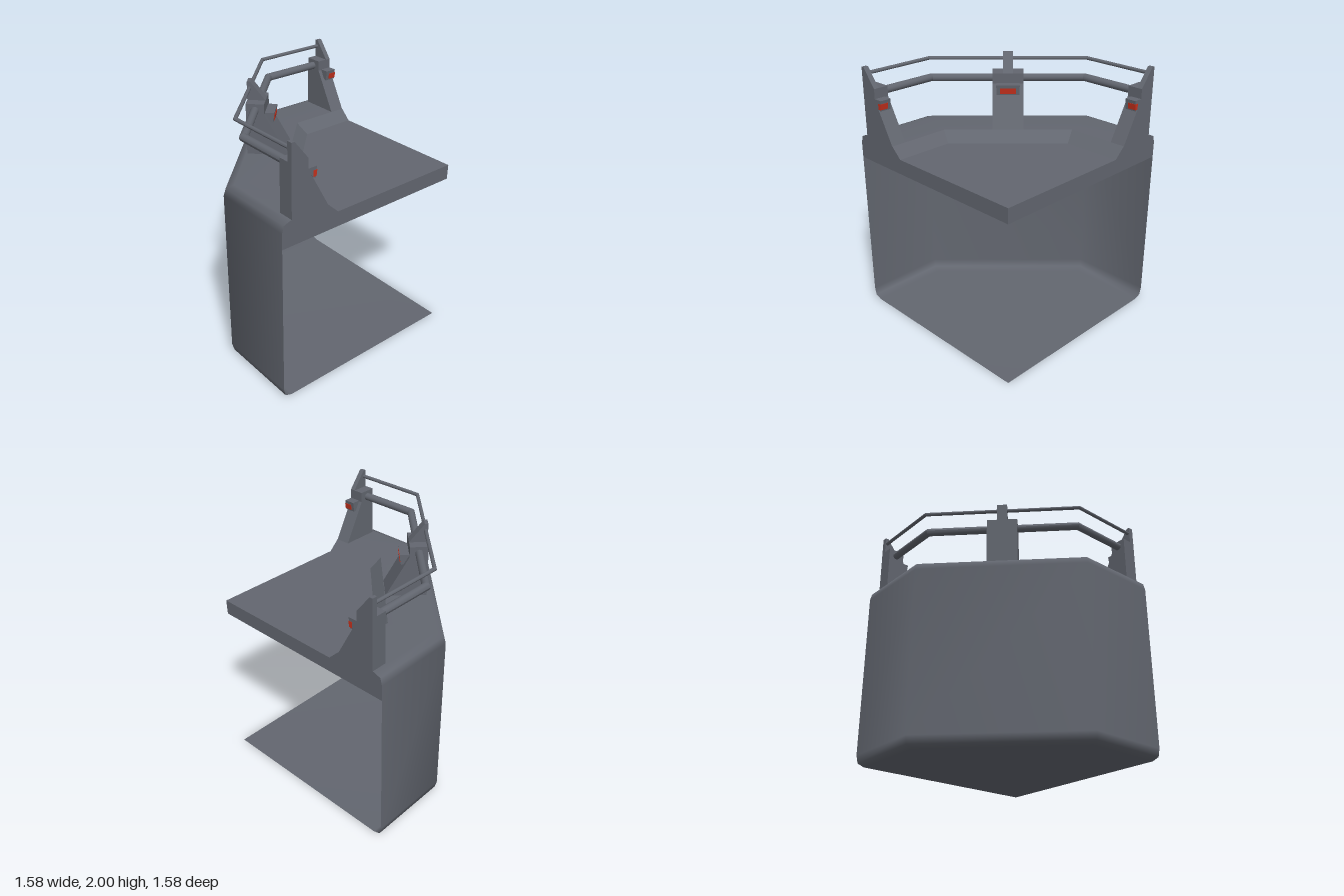
import * as THREE from 'three';
import { mergeGeometries } from 'three/addons/utils/BufferGeometryUtils.js';

const HALF = 0.79;                       // footprint half size; octagon centre sits at (HALF, -HALF)
const T = Math.tan(Math.PI / 8);
// Directions to the cut ends and corners of a quarter octagon with unit apothem
const COLS = [[0, 1], [-T, 1], [-1, T], [-1, 0]];

const hull = new THREE.MeshStandardMaterial({ color: 0x62666f, side: THREE.DoubleSide });
hull.name = 'slate grey';
const red = new THREE.MeshStandardMaterial({ color: 0xc4301c });
red.name = 'lamp red';

// Sweep a profile of [radius, height] points around the given octagon columns
function sweep(profile, cols = COLS) {
  const pos = [], idx = [], n = profile.length;
  for (const [dx, dz] of cols)
    for (const [r, y] of profile) pos.push(HALF + dx * r, y, -HALF + dz * r);
  for (let i = 0; i < cols.length - 1; i++)
    for (let j = 0; j < n - 1; j++) {
      const a = i * n + j, b = a + n, c = a + 1, d = b + 1;
      if (profile[j][0] > 0) idx.push(a, c, b);
      if (profile[j + 1][0] > 0) idx.push(b, c, d);
    }
  const g = new THREE.BufferGeometry();
  g.setAttribute('position', new THREE.Float32BufferAttribute(pos, 3));
  g.setIndex(idx);
  g.computeVertexNormals();
  return g;
}

function flat(g) {
  const f = g.toNonIndexed();
  f.computeVertexNormals();
  return f;
}

function mesh(name, geometry, material = hull) {
  const m = new THREE.Mesh(geometry, material);
  m.name = name;
  return m;
}

const shapeOf = pts => new THREE.Shape(pts.map(p => new THREE.Vector2(...p)));

// Extrude a [radius, height] outline sideways from z0 to z1
function slab(pts, z0, z1) {
  const g = new THREE.ExtrudeGeometry(shapeOf(pts), { depth: z1 - z0, bevelEnabled: false });
  return g.translate(0, 0, z0);
}

// Railing of round section, mitred at the octagon corners
function rail(name, r, y, radius) {
  const ring = [];
  for (let k = 0; k <= 12; k++) {
    const a = k / 12 * Math.PI * 2;
    ring.push([r + Math.cos(a) * radius, y + Math.sin(a) * radius]);
  }
  return mesh(name, mergeGeometries([0, 1, 2].map(i => sweep(ring, COLS.slice(i, i + 2)))));
}

// Buttress post with upper fin and lamp; lo and hi (0 or 1) choose which halves exist
function post(name, angle, lo, hi) {
  const g = new THREE.Group();
  g.name = name;
  const part = (n, pts, half, mat, extra = 0) =>
    g.add(mesh(n, slab(pts, lo ? -half : -extra, hi ? half : extra), mat));
  part('buttress', [[1.19, 1.46], [1.5, 1.46], [1.5, 1.86], [1.365, 1.86], [1.365, 1.78]], 0.12);
  part('fin', [[1.365, 1.86], [1.5, 1.86], [1.5, 2], [1.475, 2]], 0.04);
  part('lampHousing', [[1.325, 1.71], [1.37, 1.785], [1.295, 1.785], [1.305, 1.705]], 0.09);
  part('lampLens', [[1.325, 1.715], [1.325, 1.76], [1.294, 1.76], [1.3, 1.715]], 0.062, red, 0.002);
  g.position.set(HALF, 0, -HALF);
  g.rotation.y = angle;
  return g;
}

export function createModel() {
  const model = new THREE.Group();
  model.name = 'cornerPlatform';

  // Thin shell: floor, rounded wall and top rim
  const round = [[1.58, 1.39], [1.565, 1.445], [1.51, 1.465]];
  model.add(mesh('wallShell', sweep([[0, 0], [1.51, 0], [1.565, 0.02], [1.58, 0.08],
    ...round, [1.19, 1.465]])));

  // Sunken deck with sloping edge, underside and cut ends
  const top = [[1.19, 1.465], [1.105, 1.385], [0, 1.385]];
  model.add(mesh('deckTop', flat(sweep(top))));
  model.add(mesh('deckUnderside', flat(sweep([[0, 1.27], [1.578, 1.27]]))));
  const section = shapeOf([[0, 1.27], [1.58, 1.27], ...round, ...top]);
  for (const angle of [-Math.PI / 2, Math.PI]) {
    const end = mesh('deckEnd', new THREE.ShapeGeometry(section));
    end.position.set(HALF, 0, -HALF);
    end.rotation.y = angle;
    model.add(end);
  }

  // Posts: half posts at both cut ends, a whole one on the diagonal
  model.add(post('frontPost', -Math.PI / 2, 0, 1));
  model.add(post('diagonalPost', -Math.PI * 0.75, 1, 1));
  model.add(post('sidePost', -Math.PI, 1, 0));

  // Railings
  model.add(rail('mainRail', 1.435, 1.81, 0.03));
  model.add(rail('topRail', 1.483, 1.95, 0.014));
  return model;
}
